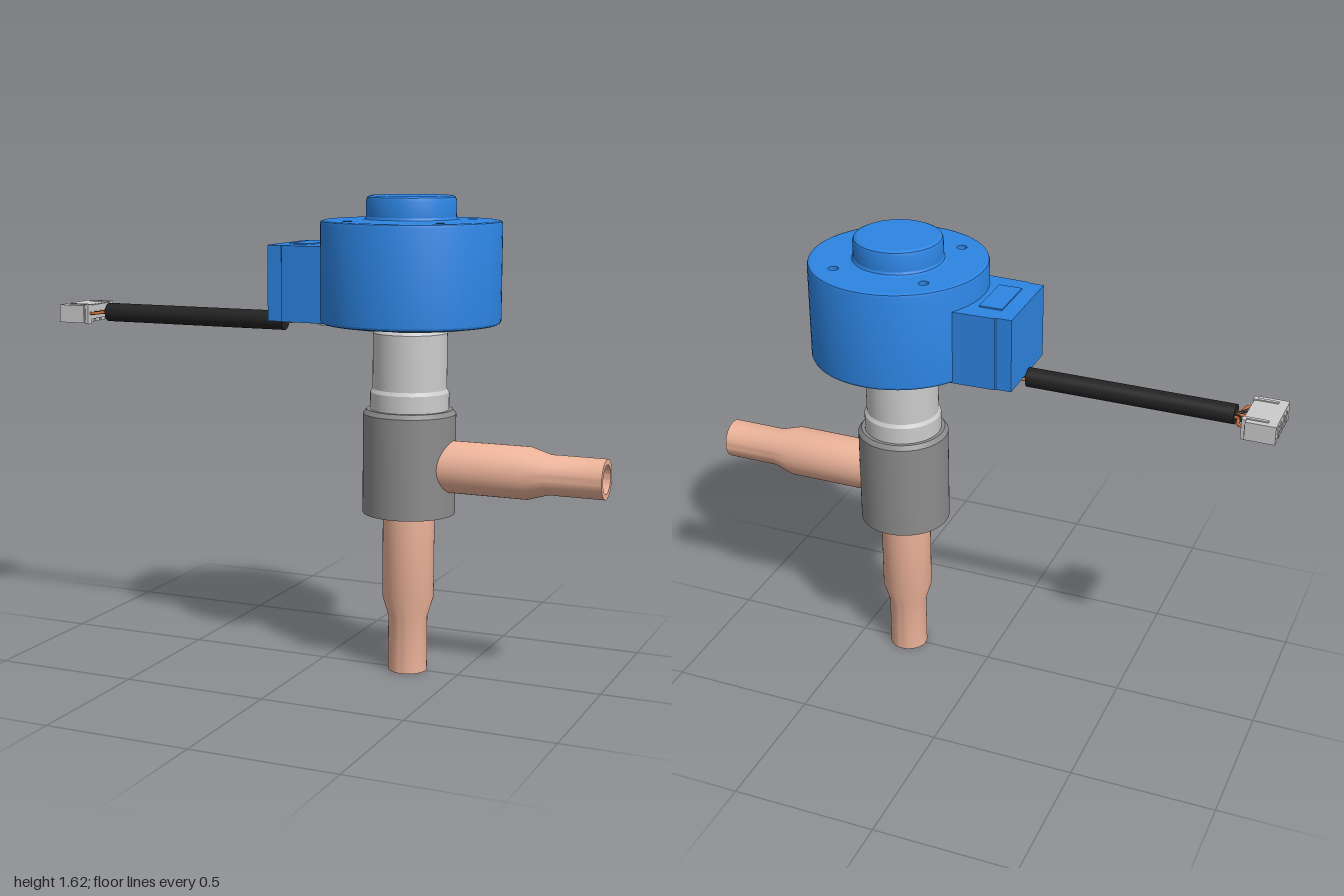
import * as THREE from 'three';
import { toCreasedNormals } from 'three/addons/utils/BufferGeometryUtils.js';

const AXIS = 0.317; // x of the vertical valve axis
const mat = (color) => new THREE.MeshStandardMaterial({ color });
const blue = mat(0x2d84e2), copper = mat(0xeeb49a), steel = mat(0xcccccc);
const darkSteel = mat(0x8c8c8c), black = mat(0x222222), wireCopper = mat(0xc8703a);

function add(parent, name, geometry, material, x = 0, y = 0, z = 0) {
  const mesh = new THREE.Mesh(geometry, material);
  mesh.name = name;
  mesh.position.set(x, y, z);
  parent.add(mesh);
  return mesh;
}

// Turned part; profile runs from the bottom, outward and up
function turned(profile, segments = 64) {
  const points = profile.map(([r, y]) => new THREE.Vector2(r, y));
  return toCreasedNormals(new THREE.LatheGeometry(points, segments), 0.4);
}

// Plan outline raised along y
function slab(shape, depth, curveSegments = 32) {
  const g = new THREE.ExtrudeGeometry(shape, { depth, bevelEnabled: false, curveSegments });
  return toCreasedNormals(g.rotateX(-Math.PI / 2), 0.4);
}

function hole(x, y, r) {
  return new THREE.Path().absarc(x, y, r, 0, Math.PI * 2, true);
}

// Hollow pipe with a necked-down open end at y = 0
function pipe(length) {
  return turned([[0.048, 0], [0.067, 0], [0.067, 0.19], [0.088, 0.26], [0.088, length],
    [0.07, length], [0.07, 0.26], [0.048, 0.19], [0.048, 0]], 48);
}

function wire(points, radius = 0.0055) {
  const curve = new THREE.CatmullRomCurve3(points.map((p) => new THREE.Vector3(...p)), false, 'centripetal');
  return new THREE.TubeGeometry(curve, 20, radius, 8);
}

function buildValve() {
  const valve = new THREE.Group();
  valve.name = 'valve';
  add(valve, 'valveBody', turned([[0, 0.555], [0.157, 0.555], [0.157, 0.895], [0.145, 0.91], [0, 0.91]]), darkSteel, AXIS);
  add(valve, 'neck', turned([[0, 0.9], [0.133, 0.9], [0.133, 0.968], [0.125, 0.98], [0.125, 1.168], [0.116, 1.18],
    [0.116, 1.188], [0.13, 1.188], [0.13, 1.205], [0, 1.205]]), steel, AXIS);
  add(valve, 'lowerPipe', pipe(0.57), copper, AXIS);
  add(valve, 'sidePipe', pipe(0.6), copper, 1, 0.722).rotation.z = Math.PI / 2;
  return valve;
}

function buildCoil() {
  const coil = new THREE.Group();
  coil.name = 'coil';
  add(coil, 'coilHousing', turned([[0, 1.2], [0.292, 1.2], [0.299, 1.203], [0.302, 1.21], [0.302, 1.528],
    [0.299, 1.537], [0.29, 1.54], [0.29, 1.52], [0, 1.52]], 80), blue, AXIS);

  // Top plate with four shallow holes
  const plate = new THREE.Shape().absarc(0, 0, 0.29, 0, Math.PI * 2);
  for (const x of [-0.16, 0.16]) for (const y of [-0.16, 0.16]) plate.holes.push(hole(x, y, 0.017));
  add(coil, 'topPlate', slab(plate, 0.02, 40), blue, AXIS, 1.52);
  add(coil, 'topCap', turned([[0.162, 1.54], [0.154, 1.544], [0.15, 1.552], [0.15, 1.605], [0.146, 1.616],
    [0.136, 1.621], [0, 1.621]]), blue, AXIS);

  // Terminal box: slimmer cover in front of a wider shoulder
  const half = [[-0.14, 0.148], [-0.088, 0.15], [-0.085, 0.155], [0.12, 0.161]];
  const outline = [...half.map(([x, z]) => [x, -z]), ...half.slice().reverse()];
  const box = new THREE.Shape(outline.map(([x, y]) => new THREE.Vector2(x, y)));
  add(coil, 'terminalBox', slab(box, 0.255), blue, 0, 1.2);
  add(coil, 'boxRidge', new THREE.BoxGeometry(0.08, 0.006, 0.18), blue, -0.045, 1.457);
  return coil;
}

function buildBracket() {
  const bracket = new THREE.Group();
  bracket.name = 'bracket';
  // Retaining plate with four notches in its rim
  const rim = [];
  for (let i = 0; i < 96; i++) {
    const a = (i / 96) * Math.PI * 2;
    const notched = Math.abs(((i + 12) % 24) - 12) < 2;
    const r = notched ? 0.205 : 0.247;
    rim.push(new THREE.Vector2(Math.cos(a) * r, Math.sin(a) * r));
  }
  const plate = new THREE.Shape(rim);
  plate.holes.push(hole(0, 0, 0.12));
  add(bracket, 'retainingPlate', slab(plate, 0.008), steel, AXIS, 1.193);

  // Round-ended earth tab under the terminal box
  const tab = new THREE.Shape();
  tab.moveTo(0.13, -0.04).lineTo(0.13, 0.04).lineTo(0.03, 0.04);
  tab.absarc(0.03, 0, 0.04, Math.PI / 2, Math.PI * 1.5, false);
  tab.holes.push(hole(0.03, 0, 0.016));
  add(bracket, 'earthTab', slab(tab, 0.006), steel, 0, 1.179);
  add(bracket, 'tabRiser', new THREE.BoxGeometry(0.006, 0.02, 0.08), steel, 0.128, 1.19);
  add(bracket, 'tabHook', new THREE.BoxGeometry(0.006, 0.022, 0.04), steel, -0.012, 1.191);
  add(bracket, 'cableSeal', new THREE.BoxGeometry(0.08, 0.012, 0.16), black, -0.075, 1.198);
  return bracket;
}

function buildCable() {
  const cable = new THREE.Group();
  cable.name = 'cable';
  const y = 1.187;
  add(cable, 'sleeve', new THREE.CylinderGeometry(0.033, 0.033, 0.705, 32), black, -0.4975, y).rotation.z = Math.PI / 2;

  // Five cores fan out to the plug and bend up into the terminal box
  for (let i = -2; i <= 2; i++) {
    const core = i % 2 ? black : wireCopper;
    add(cable, 'plugCore', wire([[-0.84, y, i * 0.009], [-0.862, y, i * 0.012], [-0.87, y, i * 0.03],
      [-0.878, y, i * 0.034], [-0.91, y, i * 0.034]]), core);
    add(cable, 'boxCore', wire([[-0.15, y, i * 0.009], [-0.115, y, i * 0.014], [-0.101, y + 0.004, i * 0.018],
      [-0.099, 1.215, i * 0.02]]), core);
  }
  return cable;
}

function buildPlug() {
  const plug = new THREE.Group();
  plug.name = 'plug';
  const part = (name, w, h, d, x, y, z) => add(plug, name, new THREE.BoxGeometry(w, h, d), steel, x, y, z);
  part('plugCore', 0.096, 0.042, 0.18, -0.946, 1.183, 0);
  part('plugTop', 0.1, 0.014, 0.188, -0.95, 1.209, 0);
  part('plugFlange', 0.012, 0.05, 0.17, -0.896, 1.19, 0);
  for (let i = -2; i <= 2; i++) part('contactRib', 0.1, 0.05, 0.022, -0.95, 1.178, i * 0.038);
  for (const s of [-1, 1]) {
    part('sideWall', 0.1, 0.062, 0.01, -0.95, 1.184, s * 0.089);
    part('latchRail', 0.07, 0.006, 0.012, -0.935, 1.217, s * 0.068);
    part('rearEar', 0.014, 0.07, 0.024, -0.894, 1.184, s * 0.074);
  }
  return plug;
}

export function createModel() {
  const model = new THREE.Group();
  model.name = 'solenoidValve';
  model.add(buildValve(), buildCoil(), buildBracket(), buildCable(), buildPlug());
  return model;
}
